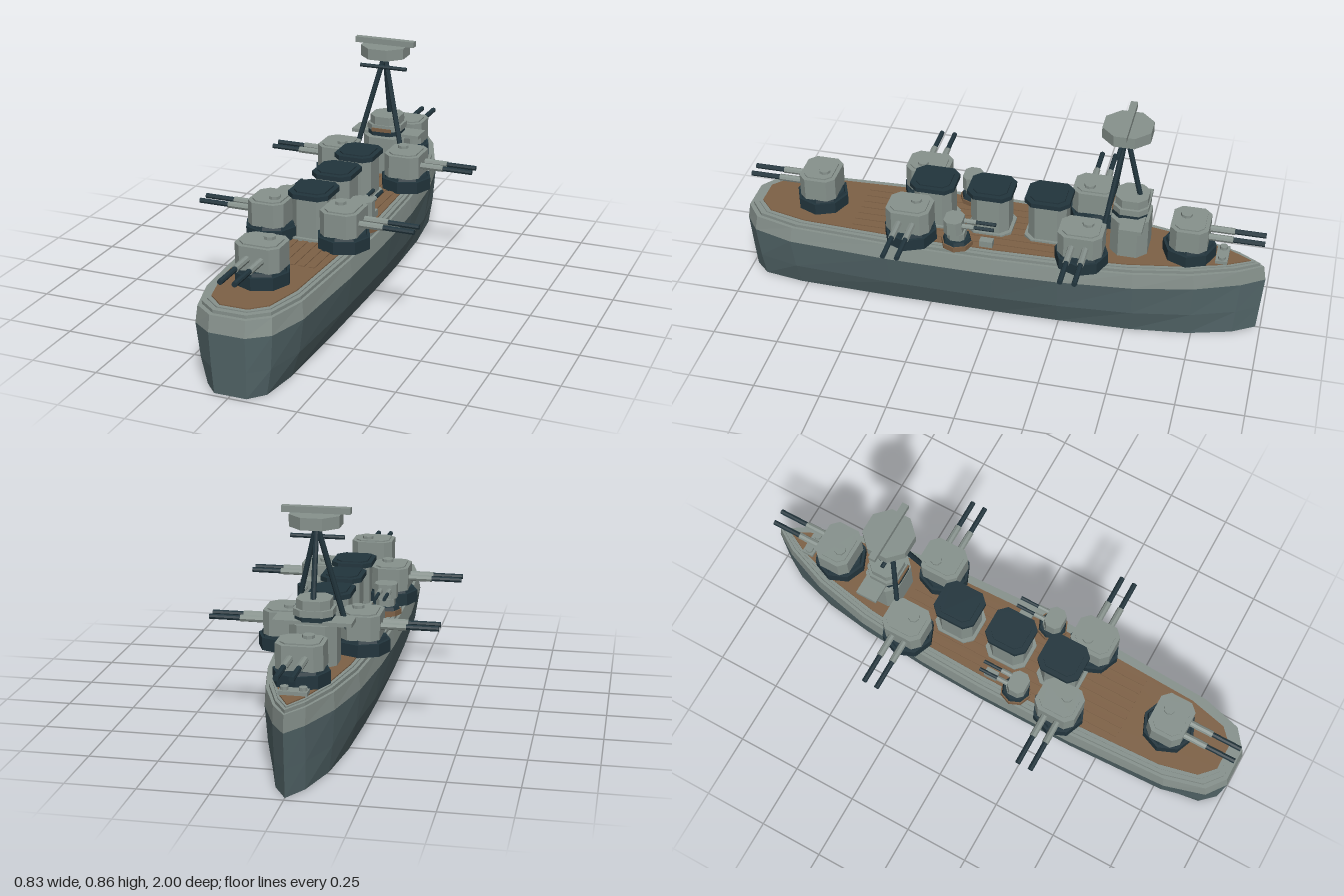
import * as THREE from 'three';

const paint = (name, color, side = THREE.FrontSide) =>
  new THREE.MeshStandardMaterial({ name, color, side, flatShading: true });

export function createModel() {
  const grey = paint('light grey', 0x87928d, THREE.DoubleSide);
  const slate = paint('slate hull', 0x536669, THREE.DoubleSide);
  const dark = paint('dark steel', 0x22353d);
  const brown = paint('deck brown', 0x7e6146);
  const ship = new THREE.Group();
  ship.name = 'battleship';

  const add = (parent, name, geo, mat, x = 0, y = 0, z = 0) => {
    const m = new THREE.Mesh(geo, mat);
    m.name = name;
    m.position.set(x, y, z);
    parent.add(m);
    return m;
  };
  const group = (name, x, y, z, turn = 0) => {
    const g = new THREE.Group();
    g.name = name;
    g.position.set(x, y, z);
    g.rotation.y = turn;
    ship.add(g);
    return g;
  };
  const box = (w, h, d) => new THREE.BoxGeometry(w, h, d);
  // slab standing on y = 0, outline given as [x, z]
  const slab = (pts, h) => {
    const shape = new THREE.Shape(pts.map(([x, z]) => new THREE.Vector2(x, -z)));
    return new THREE.ExtrudeGeometry(shape, { depth: h, bevelEnabled: false }).rotateX(-Math.PI / 2);
  };
  // block with cut vertical corners, standing on y = 0
  const cutBlock = (w, h, d, c) => {
    const a = w / 2, b = d / 2;
    return slab([[a, c - b], [a, b - c], [a - c, b], [c - a, b], [-a, b - c], [-a, c - b], [c - a, -b], [a - c, -b]], h);
  };
  const rod = (parent, name, from, to, r, mat, sides = 8) => {
    const a = new THREE.Vector3(...from), b = new THREE.Vector3(...to);
    const m = add(parent, name, new THREE.CylinderGeometry(r, r, a.distanceTo(b), sides), mat);
    m.position.copy(a).add(b).multiplyScalar(0.5);
    m.quaternion.setFromUnitVectors(new THREE.Vector3(0, 1, 0), b.sub(a).normalize());
  };

  // hull: half outline from bow to stern, mirrored and narrowed at each level
  const half = [[0, -1], [0.055, -0.915], [0.12, -0.75], [0.168, -0.53], [0.195, -0.25], [0.205, 0],
    [0.205, 0.4], [0.185, 0.79], [0.14, 0.945], [0.066, 1]];
  const outline = [...half, ...half.slice(1).reverse().map(([x, z]) => [-x, z])];
  const ring = (k, sz) => outline.map(([x, z]) => [x * (1 - k * Math.abs(x) / 0.205), z * sz]);
  const shell = (levels) => {
    const n = outline.length, pos = [], idx = [];
    levels.forEach(([y, k, sz]) => ring(k, sz).forEach(([x, z]) => pos.push(x, y, z)));
    for (let l = 0; l < levels.length - 1; l++) {
      for (let i = 0; i < n; i++) {
        const a = l * n + i, b = l * n + (i + 1) % n;
        idx.push(a, a + n, b, b, a + n, b + n);
      }
    }
    const g = new THREE.BufferGeometry();
    g.setAttribute('position', new THREE.Float32BufferAttribute(pos, 3));
    g.setIndex(idx);
    g.computeVertexNormals();
    return g;
  };
  add(ship, 'lowerHull', shell([[0, 0.32, 0.982], [0.1, 0.12, 0.99], [0.23, 0, 1]]), slate);
  add(ship, 'upperHull', shell([[0.23, 0, 1], [0.29, 0.05, 0.99]]), grey);

  // stepped gunwale and wooden deck
  const inset = (sx, sz) => outline.map(([x, z]) => [x * sx, z * sz]);
  add(ship, 'hullTop', slab(ring(0.05, 0.99), 0.004), grey, 0, 0.286, 0);
  add(ship, 'gunwale', slab(inset(0.9, 0.975), 0.012), grey, 0, 0.29, 0);
  add(ship, 'waterway', slab(inset(0.83, 0.955), 0.004), grey, 0, 0.302, 0);
  add(ship, 'deck', slab(inset(0.76, 0.94), 0.004), brown, 0, 0.306, 0);
  for (let i = -3; i <= 3; i++) add(ship, 'plank', box(0.022, 0.004, 0.95), brown, i * 0.038, 0.311, 0.08);

  // twin gun turrets, barrels along local +z
  const turret = (x, z, turn) => {
    const t = group('turret', x, 0, z, turn);
    add(t, 'barbette', new THREE.CylinderGeometry(0.1, 0.1, 0.046, 8), dark, 0, 0.332, 0);
    add(t, 'turntable', new THREE.CylinderGeometry(0.085, 0.09, 0.014, 8), dark, 0, 0.361, 0);
    add(t, 'gunHouse', cutBlock(0.165, 0.088, 0.14, 0.028), grey, 0, 0.366, 0);
    add(t, 'roof', cutBlock(0.135, 0.006, 0.11, 0.022), grey, 0, 0.453, 0);
    add(t, 'hatch', new THREE.CylinderGeometry(0.022, 0.022, 0.012, 8), grey, 0.02, 0.464, -0.02);
    for (const s of [-0.026, 0.026]) {
      rod(t, 'barrelSleeve', [s, 0.41, 0.06], [s, 0.41, 0.16], 0.013, grey);
      rod(t, 'barrel', [s, 0.41, 0.15], [s, 0.41, 0.275], 0.01, dark);
    }
  };
  turret(0, 0.71, 0);
  turret(0, -0.71, Math.PI);
  for (const s of [-1, 1]) for (const z of [-0.33, 0.32]) turret(s * 0.14, z, s * Math.PI / 2);

  // funnels
  for (const z of [-0.18, 0.04, 0.26]) {
    const f = group('funnel', 0, 0.308, z);
    add(f, 'funnelFoot', cutBlock(0.155, 0.012, 0.17, 0.03), grey);
    add(f, 'funnelBody', cutBlock(0.135, 0.16, 0.145, 0.03), grey);
    add(f, 'funnelCap', cutBlock(0.155, 0.018, 0.17, 0.03), dark, 0, 0.16, 0);
    add(f, 'funnelMouth', cutBlock(0.12, 0.006, 0.13, 0.022), dark, 0, 0.177, 0);
  }

  // secondary guns amidships, pointing at the bow
  for (const s of [-1, 1]) {
    const g = group('secondaryGun', s * 0.145, 0, 0.14, Math.PI);
    add(g, 'gunPlatform', new THREE.CylinderGeometry(0.06, 0.06, 0.02, 8), brown, 0, 0.318, 0);
    add(g, 'gunRing', new THREE.CylinderGeometry(0.05, 0.055, 0.014, 8), dark, 0, 0.335, 0);
    add(g, 'gunBase', cutBlock(0.07, 0.03, 0.065, 0.015), grey, 0, 0.34, 0);
    add(g, 'gunShield', cutBlock(0.085, 0.055, 0.07, 0.018), grey, 0, 0.37, -0.01);
    for (const b of [-0.017, 0.017]) {
      rod(g, 'smallSleeve', [b, 0.403, 0.02], [b, 0.403, 0.07], 0.01, grey);
      rod(g, 'smallBarrel', [b, 0.403, 0.06], [b, 0.403, 0.145], 0.007, dark);
    }
    add(ship, 'ammoLocker', box(0.03, 0.03, 0.05), grey, s * 0.135, 0.32, 0.03);
  }

  // bridge
  const bridge = group('bridge', 0, 0, -0.49);
  add(bridge, 'bridgeBase', cutBlock(0.17, 0.15, 0.14, 0.035), grey, 0, 0.308, 0);
  add(bridge, 'bridgeWings', box(0.28, 0.014, 0.085), grey, 0, 0.463, -0.015);
  for (const s of [-1, 1]) add(bridge, 'wingRail', box(0.04, 0.016, 0.07), grey, s * 0.12, 0.462, -0.015);
  add(bridge, 'windowBand', cutBlock(0.13, 0.018, 0.13, 0.03), dark, 0, 0.467, 0.005);
  add(bridge, 'bridgeUpper', cutBlock(0.14, 0.024, 0.13, 0.03), grey, 0, 0.485, 0);
  add(bridge, 'doorPlate', box(0.08, 0.014, 0.006), brown, 0, 0.49, 0.067);
  add(bridge, 'bridgeRoof', cutBlock(0.12, 0.034, 0.12, 0.03), grey, 0, 0.508, 0);

  // tripod mast with lookout
  const mast = group('mast', 0, 0, 0);
  rod(mast, 'mastLeg', [0, 0.795, -0.455], [0, 0.5, -0.525], 0.01, dark);
  for (const s of [-1, 1]) rod(mast, 'mastLeg', [0, 0.795, -0.455], [s * 0.118, 0.32, -0.385], 0.01, dark);
  rod(mast, 'yardArm', [-0.095, 0.746, -0.44], [0.095, 0.746, -0.44], 0.008, dark);
  add(mast, 'lookout', cutBlock(0.176, 0.043, 0.176, 0.05), grey, 0, 0.791, -0.46);
  add(mast, 'rangefinder', box(0.242, 0.022, 0.026), grey, 0, 0.845, -0.46);

  // bow winch
  add(ship, 'winch', box(0.1, 0.014, 0.045), grey, 0, 0.316, -0.835);
  for (const s of [-1, 1]) {
    add(ship, 'winchDrum', new THREE.CylinderGeometry(0.015, 0.015, 0.022, 8), grey, s * 0.032, 0.324, -0.835);
  }
  return ship;
}
